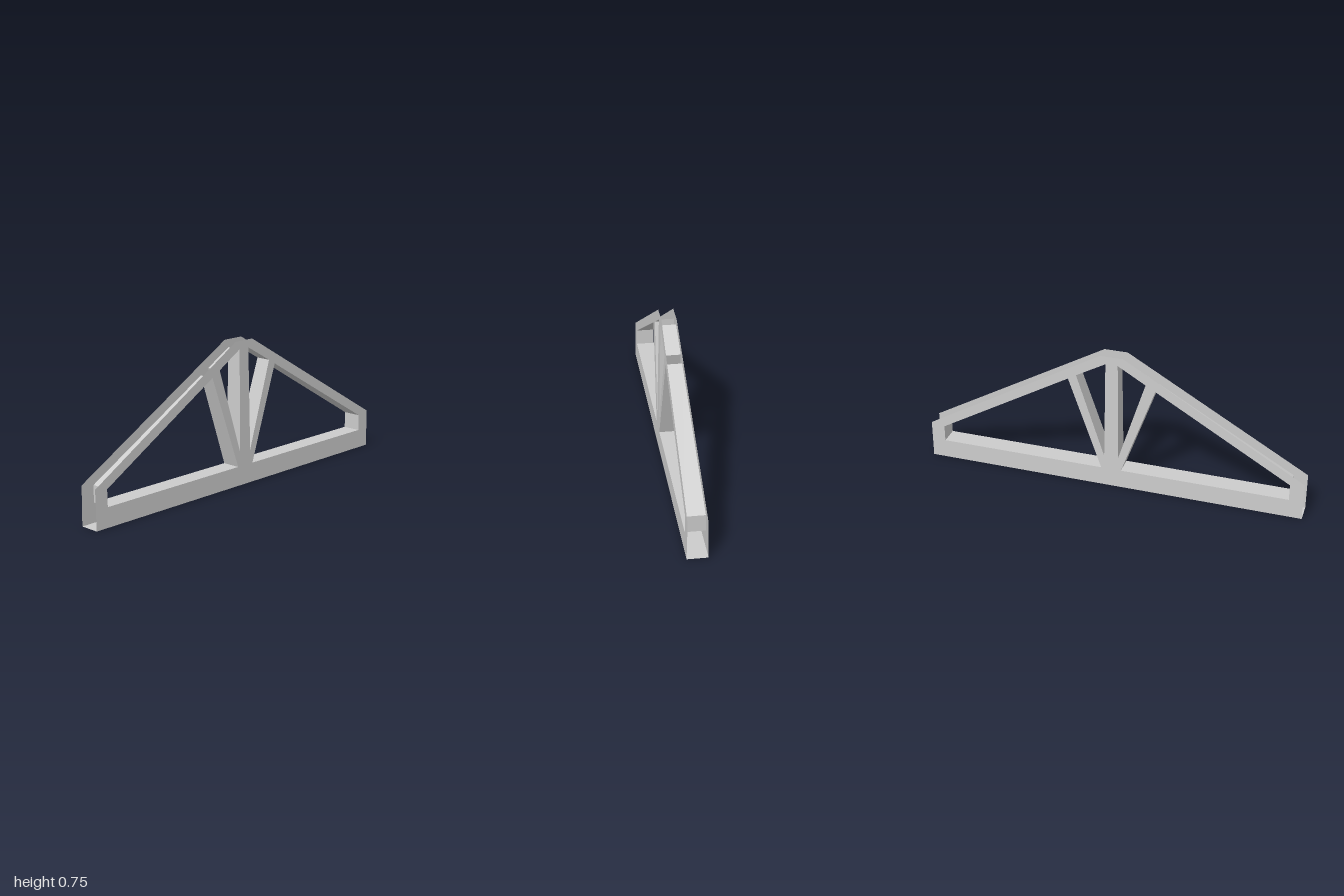
import * as THREE from 'three';

const material = new THREE.MeshStandardMaterial({ color: 0xcccccc, side: THREE.DoubleSide, flatShading: true });

// Half thickness of the truss, thinning towards the ridge
const halfDepth = (y) => 0.051 - 0.0178 * y;

const outline = [[-1, 0], [1, 0], [1, 0.2], [0.06, 0.747], [-0.06, 0.747], [-1, 0.2]];

const openings = {
  leftSide: [[0.053, 0.1], [0.928, 0.1], [0.928, 0.186], [0.229, 0.592]],
  leftCentre: [[0.037, 0.172], [0.186, 0.618], [0.032, 0.705]],
  rightCentre: [[-0.037, 0.172], [-0.032, 0.705], [-0.176, 0.621]],
  rightSide: [[-0.053, 0.1], [-0.227, 0.592], [-0.928, 0.186], [-0.928, 0.1]],
};

const toPoints = (list) => list.map(([x, y]) => new THREE.Vector2(x, y));

// Flat strips joining the front and back plates along a list of points
function ribbon(points, closed) {
  const positions = [];
  const count = closed ? points.length : points.length - 1;
  for (let i = 0; i < count; i++) {
    const [ax, ay] = points[i];
    const [bx, by] = points[(i + 1) % points.length];
    const a = halfDepth(ay), b = halfDepth(by);
    positions.push(ax, ay, a, ax, ay, -a, bx, by, -b);
    positions.push(ax, ay, a, bx, by, -b, bx, by, b);
  }
  const geometry = new THREE.BufferGeometry();
  geometry.setAttribute('position', new THREE.Float32BufferAttribute(positions, 3));
  geometry.computeVertexNormals();
  return geometry;
}

// Truss face with four openings, leaning inwards with height
function plateGeometry() {
  const shape = new THREE.Shape(toPoints(outline));
  for (const loop of Object.values(openings)) shape.holes.push(new THREE.Path(toPoints(loop)));
  const geometry = new THREE.ShapeGeometry(shape);
  const p = geometry.attributes.position;
  for (let i = 0; i < p.count; i++) p.setZ(i, halfDepth(p.getY(i)));
  geometry.computeVertexNormals();
  return geometry;
}

export function createModel() {
  const group = new THREE.Group();
  group.name = 'roofTruss';
  const add = (name, geometry) => {
    const mesh = new THREE.Mesh(geometry, material);
    mesh.name = name;
    group.add(mesh);
    return mesh;
  };

  // Front and back faces
  const plate = plateGeometry();
  add('frontPlate', plate);
  add('backPlate', plate).scale.z = -1;

  // Linings of the openings; the ends and top chords stay open
  for (const [name, loop] of Object.entries(openings)) add(name + 'OpeningLining', ribbon(loop, true));

  // Underside of the bottom beam
  add('beamUnderside', ribbon(outline.slice(0, 2), false));
  return group;
}
